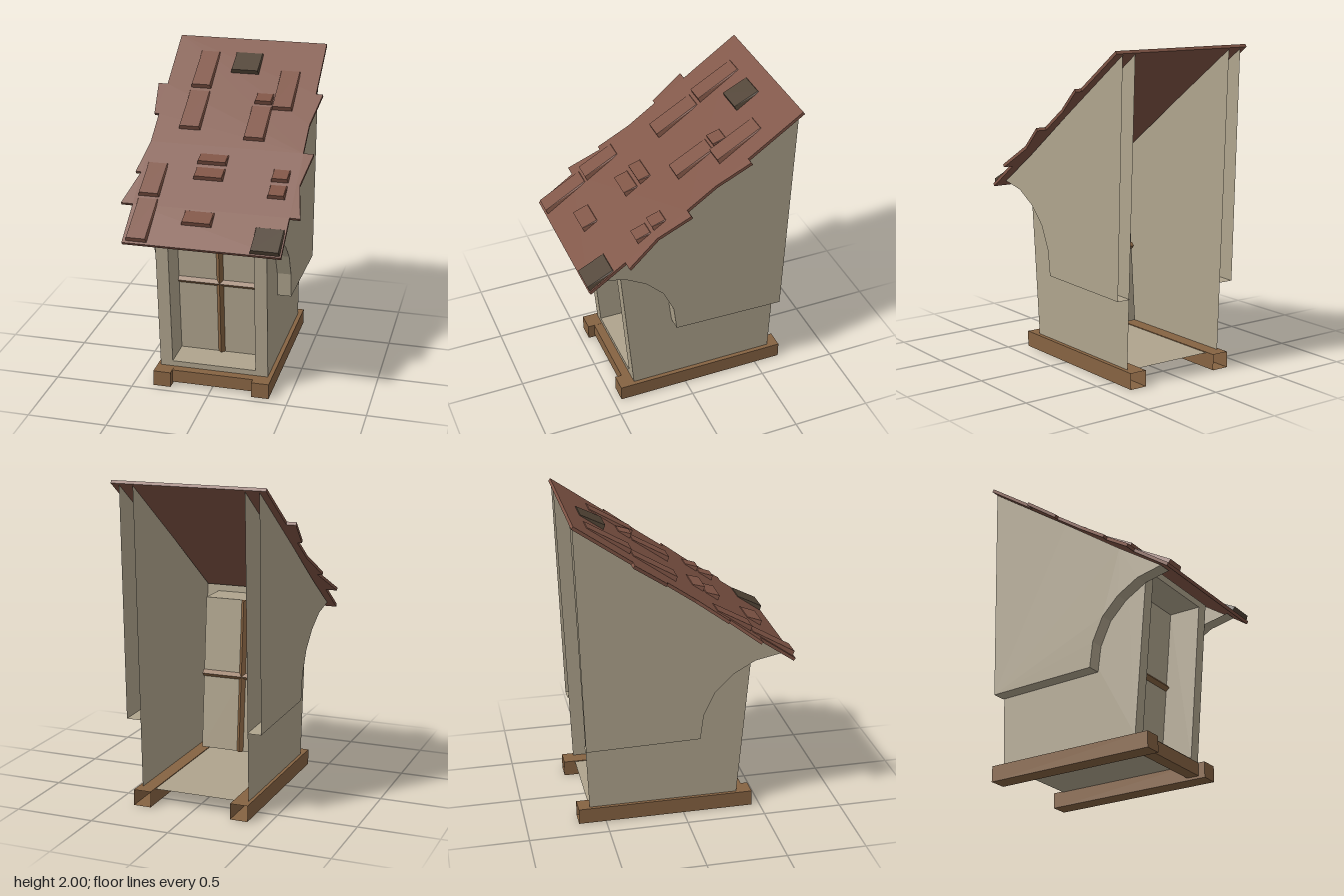
import * as THREE from 'three';

const material = (name, color) => {
  const m = new THREE.MeshStandardMaterial({ color, side: THREE.DoubleSide });
  m.name = name;
  return m;
};

const shapeOf = (points) => new THREE.Shape(points.map(([x, y]) => new THREE.Vector2(x, y)));

// Moves every vertex by a rule that returns its new [x, y, z]
const reshape = (geometry, rule) => {
  const p = geometry.attributes.position;
  for (let i = 0; i < p.count; i++) p.setXYZ(i, ...rule(p.getX(i), p.getY(i), p.getZ(i)));
  geometry.computeVertexNormals();
  return geometry;
};

// Box with one end left open: face 4 is the front, face 5 the back
const openBox = (w, h, d, face) => {
  const g = new THREE.BoxGeometry(w, h, d);
  g.setIndex(Array.from(g.index.array).filter((_, i) => Math.floor(i / 6) !== face));
  g.clearGroups();
  return g;
};

export function createModel() {
  const plaster = material('plaster', 0xafa48d);
  const wood = material('wood', 0x866342);
  const clay = material('clay', 0x7f5445);
  const darkClay = material('darkClay', 0x504335);

  const model = new THREE.Group();
  model.name = 'dormer';
  const add = (parent, name, geometry, mat, x = 0, y = 0, z = 0) => {
    const mesh = new THREE.Mesh(geometry, mat);
    mesh.name = name;
    mesh.position.set(x, y, z);
    parent.add(mesh);
    return mesh;
  };

  // Side profiles are drawn as (z, y), then turned into the side plane
  const slope = [[0.3, 1.284], [-0.1, 1.572], [-0.67, 1.973]];
  const wallShape = shapeOf([[0.35, 0.1], [0.441, 1.182], ...slope, [-0.6, 0.1]]);
  const bracket = [
    [-0.625, 0.535], [0.09, 0.55], [0.11, 0.71], [0.18, 0.86], [0.29, 0.97], [0.43, 1.05], [0.595, 1.084],
  ];
  const cheekShape = shapeOf([...bracket, ...slope]);
  const steps = bracket.length - 1;
  for (const side of [1, -1]) {
    const word = side > 0 ? 'left' : 'right';
    add(model, word + 'Wall', new THREE.ShapeGeometry(wallShape), plaster, side * 0.35)
      .rotation.y = -Math.PI / 2;
    // Upper cheek: an outer sheet and its arched underside, hollow behind
    add(model, word + 'Cheek', new THREE.ShapeGeometry(cheekShape), plaster, side * 0.438)
      .rotation.y = -Math.PI / 2;
    const underside = reshape(
      new THREE.PlaneGeometry(0.088, steps, 1, steps).toNonIndexed(),
      (x, y) => {
        const [z, height] = bracket[Math.round(y + steps / 2)];
        return [x, height, z];
      });
    add(model, word + 'CheekUnderside', underside, plaster, side * 0.394);
    // Base rail, hollow and open at the back
    add(model, word + 'Rail', openBox(0.112, 0.1, 1.12, 5), wood, side * 0.318 + 0.003, 0.05, -0.112);
  }
  add(model, 'frontBeam', new THREE.BoxGeometry(0.53, 0.083, 0.08), wood, 0, 0.0575, 0.365);
  const floor = new THREE.PlaneGeometry(0.7, 0.95).rotateX(-Math.PI / 2);
  add(model, 'floor', floor, plaster, 0, 0.095, -0.125);

  // Outward-leaning front sheet with a deep, level window recess
  const front = new THREE.Group();
  front.name = 'front';
  front.position.set(0, 0.1, 0.35);
  model.add(front);
  const lean = (geometry) => reshape(geometry, (x, y, z) => [x, y, z + y * 0.084]);
  const depth = 0.21;
  const frontShape = shapeOf([[-0.35, 0], [0.35, 0], [0.35, 1.08], [-0.35, 1.08]]);
  frontShape.holes.push(shapeOf([[-0.27, 0.037], [-0.27, 1.037], [0.27, 1.037], [0.27, 0.037]]));
  add(front, 'frontWall', lean(new THREE.ShapeGeometry(frontShape)), plaster);
  const recess = openBox(0.54, 1, depth, 4).translate(0, 0.537, -depth / 2);
  add(front, 'windowRecess', lean(recess), plaster);

  // Window bars are square sections turned onto their edges
  const uprightBar = new THREE.BoxGeometry(0.031, 1, 0.031).rotateY(Math.PI / 4);
  const crossBar = new THREE.BoxGeometry(0.55, 0.031, 0.031).rotateX(Math.PI / 4);
  add(front, 'uprightBar', lean(uprightBar.translate(0, 0.537, -depth)), wood);
  add(front, 'crossBar', lean(crossBar.translate(0, 0.537, -depth)), wood);

  // Roof: local y runs up the slope, local z points out of it
  const pitch = Math.atan(0.7), run = Math.cos(pitch), thick = 0.02;
  const roof = new THREE.Group();
  roof.name = 'roof';
  roof.position.set(0, 1.506, 0);
  roof.rotation.x = pitch - Math.PI / 2;
  model.add(roof);
  const outline = [
    [0.488, 0.66], [0.488, 0.43], [0.553, 0.43], [0.508, 0.235], [0.553, 0.04], [0.488, 0.04],
    [0.488, -0.14], [0.532, -0.34], [0.488, -0.34], [0.488, -0.68],
    [-0.48, -0.68], [-0.48, -0.34], [-0.54, -0.34], [-0.51, -0.14], [-0.48, -0.14],
    [-0.48, 0.04], [-0.52, 0.235], [-0.485, 0.235], [-0.555, 0.43], [-0.48, 0.43], [-0.48, 0.66],
  ];
  const slab = new THREE.ExtrudeGeometry(shapeOf(outline.map(([x, z]) => [x, -z / run])),
    { depth: thick, bevelEnabled: false });
  add(roof, 'roofSlab', slab, clay);

  // Raised tiles: chamfered wedges that sink into the roof at the upper end
  const tileGeometry = (w, l) => reshape(new THREE.BoxGeometry(w, l, 1).toNonIndexed(), (x, y, z) => {
    if (z < 0) return [x, y, -0.005];
    return [x - Math.sign(x) * 0.008, y - Math.sign(y) * 0.006, y < 0 ? 0.029 : 0.004];
  });
  // x from, x to, z from, z to, dark
  const tiles = [
    [-0.32, -0.187, -0.57, -0.305], [-0.325, -0.185, -0.3, -0.03],
    [-0.088, 0.097, -0.575, -0.42, true], [0.23, 0.363, -0.47, -0.195],
    [0.112, 0.228, -0.31, -0.225], [0.098, 0.233, -0.225, 0.01],
    [-0.15, 0.038, 0.1, 0.18], [-0.15, 0.038, 0.185, 0.275], [-0.15, 0.038, 0.45, 0.55],
    [0.327, 0.438, 0.16, 0.25], [0.327, 0.438, 0.255, 0.35],
    [-0.46, -0.327, 0.18, 0.4], [-0.46, -0.327, 0.4, 0.67],
    [0.298, 0.48, 0.51, 0.675, true],
  ];
  for (const [x0, x1, z0, z1, dark] of tiles) {
    const yTop = -(z0 - 0.012) / run, yBottom = -(z1 - 0.022) / run;
    add(roof, dark ? 'darkTile' : 'tile', tileGeometry(x1 - x0, yTop - yBottom),
      dark ? darkClay : clay, (x0 + x1) / 2, (yTop + yBottom) / 2, thick);
  }
  return model;
}
